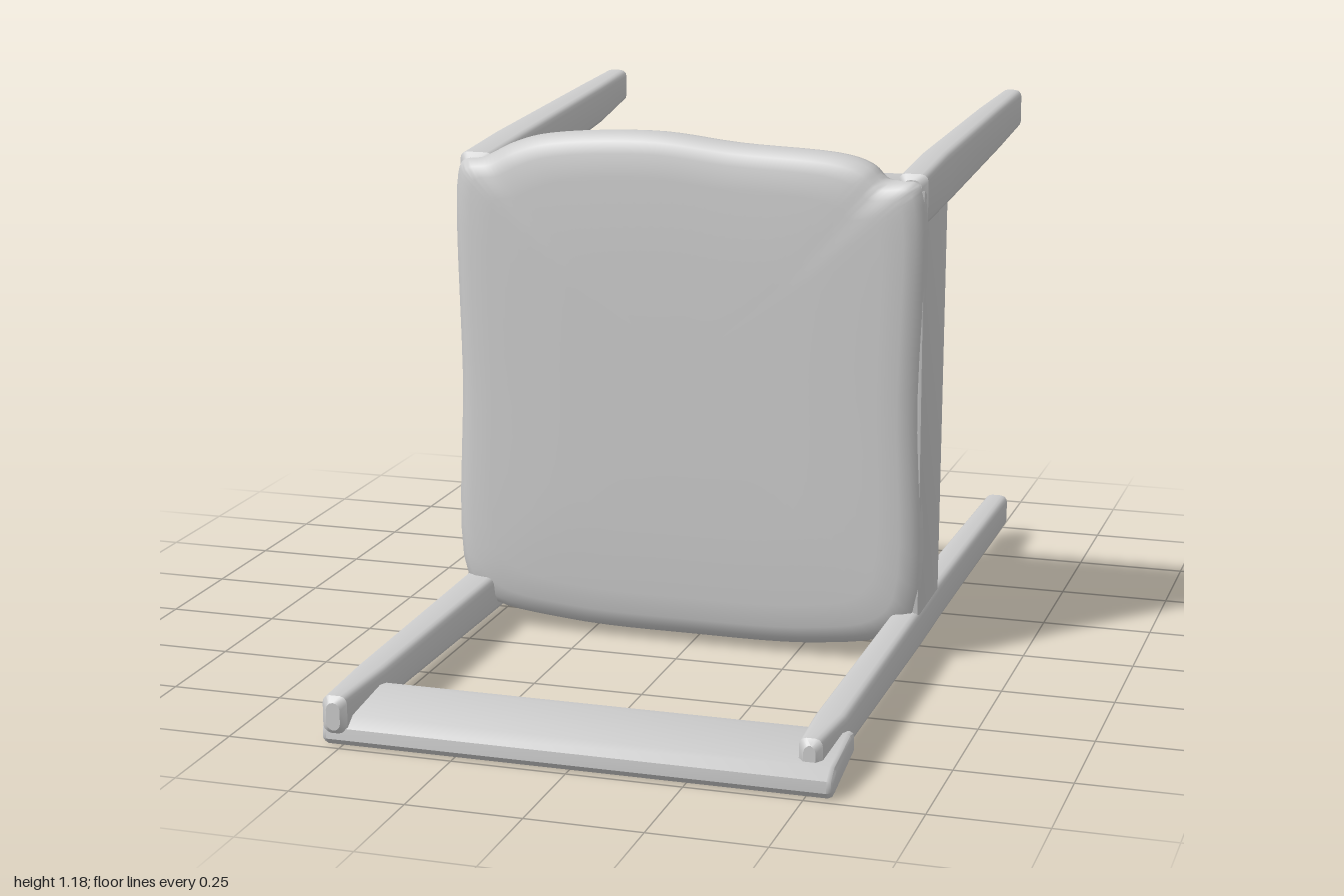
import * as THREE from 'three';
import { toCreasedNormals } from 'three/addons/utils/BufferGeometryUtils.js';

const material = new THREE.MeshStandardMaterial({ color: 0xcccccc });

function addPart(group, name, geometry, crease = 0.6) {
  const mesh = new THREE.Mesh(toCreasedNormals(geometry, crease), material);
  mesh.name = name;
  group.add(mesh);
}

// Skin over equal-length rings (counter-clockwise, z increasing), capped at both ends
function loft(rings) {
  const n = rings[0].length, pos = [], idx = [];
  rings.forEach(r => r.forEach(p => pos.push(p.x, p.y, p.z)));
  for (let k = 0; k < rings.length - 1; k++) {
    for (let i = 0; i < n; i++) {
      const a = k * n + i, b = k * n + (i + 1) % n;
      idx.push(a, b, b + n, a, b + n, a + n);
    }
  }
  [0, rings.length - 1].forEach((k, end) => {
    const c = rings[k].reduce((s, p) => s.add(p), new THREE.Vector3()).divideScalar(n);
    const ci = pos.length / 3;
    pos.push(c.x, c.y, c.z);
    for (let i = 0; i < n; i++) {
      const a = k * n + i, b = k * n + (i + 1) % n;
      if (end) idx.push(ci, a, b); else idx.push(ci, b, a);
    }
  });
  const g = new THREE.BufferGeometry();
  g.setAttribute('position', new THREE.Float32BufferAttribute(pos, 3));
  g.setIndex(idx);
  return g;
}

// Rounded rectangle ring at depth z
function rectRing(z, x0, x1, y0, y1, r = 0.016) {
  const ring = [];
  const corners = [[x1 - r, y1 - r], [x0 + r, y1 - r], [x0 + r, y0 + r], [x1 - r, y0 + r]];
  corners.forEach(([cx, cy], q) => {
    for (let i = 0; i <= 3; i++) {
      const a = (q + i / 3) * Math.PI / 2;
      ring.push(new THREE.Vector3(cx + r * Math.cos(a), cy + r * Math.sin(a), z));
    }
  });
  return ring;
}

// Bar along z through sections [z, x0, x1, y0, y1], with softened ends
function bar(sections) {
  const soft = ([z, x0, x1, y0, y1], dz) => rectRing(z + dz, x0 + 0.012, x1 - 0.012, y0 + 0.012, y1 - 0.012);
  const first = sections[0], last = sections[sections.length - 1];
  return loft([soft(first, -0.012), ...sections.map(s => rectRing(...s)), soft(last, 0.012)]);
}

// Board with a (z, y) profile, running from x0 to x1
function board(profile, x0, x1, bevel = 0.008) {
  const shape = new THREE.Shape(profile.map(p => new THREE.Vector2(...p)));
  const g = new THREE.ExtrudeGeometry(shape, {
    depth: x1 - x0 - 2 * bevel, bevelSize: bevel, bevelThickness: bevel, bevelOffset: -bevel, bevelSegments: 2,
  });
  return g.rotateY(-Math.PI / 2).translate(x1 - bevel, 0, 0);
}

export function createModel() {
  const chair = new THREE.Group();
  chair.name = 'chairLyingOnBack';

  // Long back posts, continuing as the rear legs
  addPart(chair, 'backPostRight', bar([
    [-0.89, -0.54, -0.485, 0.06, 0.14], [-0.1, -0.55, -0.475, 0.04, 0.135],
    [0.1, -0.555, -0.475, 0.03, 0.12], [0.8, -0.545, -0.475, 0.035, 0.115], [0.985, -0.54, -0.485, 0.025, 0.11],
  ]));
  addPart(chair, 'backPostLeft', bar([
    [-0.9, 0.475, 0.53, 0.035, 0.115], [-0.1, 0.47, 0.535, 0.035, 0.125],
    [0.1, 0.47, 0.535, 0.03, 0.12], [0.8, 0.47, 0.54, 0.035, 0.115], [0.94, 0.475, 0.525, 0.03, 0.11],
  ]));

  // Front legs
  addPart(chair, 'frontLegRight', bar([
    [-0.91, -0.55, -0.495, 1.09, 1.17], [-0.7, -0.552, -0.485, 1.065, 1.16],
    [-0.1, -0.555, -0.475, 1.015, 1.13], [0.11, -0.555, -0.475, 1.0, 1.115],
  ]));
  addPart(chair, 'frontLegLeft', bar([
    [-0.985, 0.475, 0.525, 1.055, 1.15], [-0.7, 0.47, 0.53, 1.04, 1.145],
    [-0.1, 0.468, 0.535, 1.01, 1.13], [0.11, 0.468, 0.535, 1.0, 1.115],
  ]));

  // Seat frame: side rails, front apron and rear apron
  const railProfile = [[-0.08, 0.07], [0.125, 0.07], [0.125, 1.08], [-0.11, 1.08]];
  addPart(chair, 'sideRailRight', board(railProfile, -0.552, -0.477));
  addPart(chair, 'sideRailLeft', board(railProfile, 0.47, 0.532));
  addPart(chair, 'frontApron', board([[-0.085, 1.02], [0.08, 1.02], [0.08, 1.09], [-0.085, 1.08]], -0.5, 0.49));
  addPart(chair, 'rearApron', board([[-0.08, 0.05], [0.08, 0.04], [0.08, 0.11], [-0.08, 0.105]], -0.5, 0.49));

  // Padded seat: rounded outline, domed towards +z
  const outline = new THREE.CatmullRomCurve3([
    [0.522, 0.12], [0.525, 0.6], [0.53, 1.07], [0.515, 1.1], [0.445, 1.1], [0.41, 1.13], [0.35, 1.15],
    [0.1, 1.165], [-0.1, 1.183], [-0.35, 1.165], [-0.43, 1.14], [-0.49, 1.11], [-0.545, 1.1], [-0.558, 1.07],
    [-0.556, 0.6], [-0.553, 0.12], [-0.5, 0.06], [-0.3, 0.025], [0, 0.018], [0.3, 0.025], [0.47, 0.06],
  ].map(([x, y]) => new THREE.Vector3(x, y, 0)), true, 'centripetal').getPoints(120).slice(0, -1);
  const layers = [[0.055, 0.975], [0.07, 0.99], [0.11, 1], [0.13, 0.992], [0.146, 0.965], [0.155, 0.92], [0.16, 0.83], [0.163, 0.5]];
  addPart(chair, 'seatPad', loft(layers.map(([z, s]) =>
    outline.map(p => new THREE.Vector3(-0.013 + (p.x + 0.013) * s, 0.6 + (p.y - 0.6) * s, z)))), 0.8);

  // Broad top slat of the backrest
  addPart(chair, 'backrestSlat', board([
    [0.8, 0.035], [0.95, 0.003], [0.975, 0.0], [0.99, 0.015], [0.988, 0.04], [0.96, 0.062], [0.83, 0.085], [0.8, 0.08],
  ], -0.545, 0.557, 0.012), 0.8);

  return chair;
}
